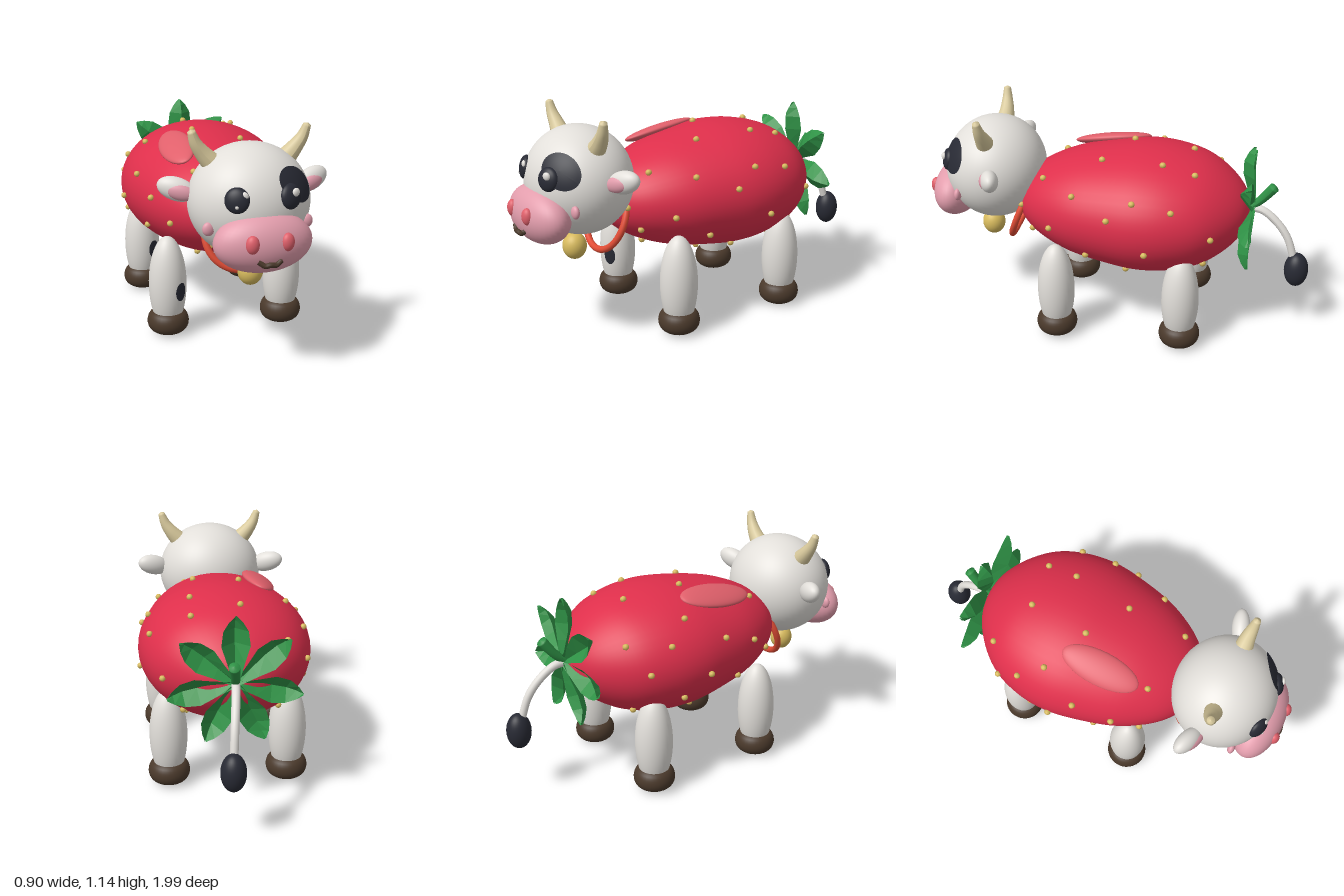
import * as THREE from 'three';

const mat = (name, color, side = THREE.FrontSide) => {
  const m = new THREE.MeshStandardMaterial({ color, side });
  m.name = name;
  return m;
};
const V = (x, y, z) => new THREE.Vector3(x, y, z);

export function createModel() {
  const root = new THREE.Group();
  root.name = 'strawberryCow';

  const red = mat('berry red', 0xde2f4b);
  const white = mat('hide white', 0xe2dfda);
  const black = mat('spot black', 0x282a34);
  const pink = mat('skin pink', 0xe29dac);
  const brown = mat('hoof brown', 0x4a392b);
  const green = mat('leaf green', 0x2f9246, THREE.DoubleSide);
  const gold = mat('seed gold', 0xd8bb5e);
  const horn = mat('horn cream', 0xd8c99c);
  const orange = mat('collar orange', 0xe04c35);
  const coral = mat('coral', 0xe0606b);

  const add = (name, geo, m) => {
    const mesh = new THREE.Mesh(geo, m);
    mesh.name = name;
    root.add(mesh);
    return mesh;
  };
  const ball = (name, m, pos, radii, rot = [0, 0, 0], seg = 32) => {
    const mesh = add(name, new THREE.SphereGeometry(1, seg, Math.ceil(seg * 0.7)), m);
    mesh.position.set(...pos);
    mesh.scale.set(...radii);
    mesh.rotation.set(...rot);
    return mesh;
  };
  // Tube whose radius runs from r0 to r1, closed at the far end
  const taper = (name, m, pts, r0, r1) => {
    const n = 24, sides = 14;
    const curve = new THREE.CatmullRomCurve3(pts.map((p) => V(...p)));
    const geo = new THREE.TubeGeometry(curve, n, 1, sides);
    const pos = geo.attributes.position, p = V();
    for (let i = 0; i <= n; i++) {
      const c = curve.getPointAt(i / n);
      const r = i === n ? 0 : r0 + (r1 - r0) * (i / n);
      for (let j = 0; j <= sides; j++) {
        const k = i * (sides + 1) + j;
        p.fromBufferAttribute(pos, k).sub(c).multiplyScalar(r).add(c);
        pos.setXYZ(k, p.x, p.y, p.z);
      }
    }
    geo.computeVertexNormals();
    return add(name, geo, m);
  };
  // Thin oval patch wrapped onto an ellipsoid
  const patch = (name, m, center, radii, toward, a, b, turn = 0) => {
    const geo = new THREE.RingGeometry(0.001, 1, 36, 6);
    const pos = geo.attributes.position;
    const c = V(...center), r = V(...radii), d = V(...toward);
    d.multiplyScalar(1 / d.clone().divide(r).length());
    const u = V(0, 1, 0).cross(d).normalize();
    const v = d.clone().cross(u).normalize();
    const cs = Math.cos(turn), sn = Math.sin(turn);
    for (let i = 0; i < pos.count; i++) {
      const x = pos.getX(i) * a, y = pos.getY(i) * b;
      const q = d.clone().addScaledVector(u, x * cs - y * sn).addScaledVector(v, x * sn + y * cs);
      q.multiplyScalar(1.018 / q.clone().divide(r).length()).add(c);
      pos.setXYZ(i, q.x, q.y, q.z);
    }
    geo.computeVertexNormals();
    return add(name, geo, m);
  };

  // Berry body, turned along z and flattened in height
  const FLAT = 0.74, BODY_Y = 0.655;
  const profile = new THREE.SplineCurve([
    [0, -0.69], [0.14, -0.655], [0.265, -0.57], [0.365, -0.45], [0.42, -0.3], [0.435, -0.15],
    [0.415, 0], [0.362, 0.2], [0.285, 0.35], [0.2, 0.45], [0.11, 0.505], [0, 0.53],
  ].map(([r, z]) => new THREE.Vector2(r, z))).getPoints(55);
  profile.forEach((p) => { p.x = Math.max(p.x, 0); });
  const bodyGeo = new THREE.LatheGeometry(profile, 48);
  bodyGeo.rotateX(Math.PI / 2).scale(1, FLAT, 1);
  bodyGeo.computeVertexNormals();
  add('body', bodyGeo, red).position.y = BODY_Y;
  const radiusAt = (z) => {
    const i = Math.max(1, profile.findIndex((p) => p.y >= z));
    const a = profile[i - 1], b = profile[i];
    return a.x + (b.x - a.x) * (z - a.y) / (b.y - a.y);
  };
  ball('bodyShine', coral, [-0.2, 0.917, 0.065], [0.085, 0.03, 0.205], [0.13, 0, 0.4]);

  // Seeds as [z, degrees from the top towards the left side]
  const seeds = [
    [0.36, 36], [0.18, 57], [0.06, 20], [-0.01, 75], [-0.13, 59], [-0.25, 24], [-0.41, 28],
    [-0.32, 64], [-0.2, 104], [-0.51, 94], [0.3, 98], [0.42, 128], [0.11, 122], [0.48, 85],
    [-0.08, 145], [0.35, 165], [0.04, 165], [-0.35, 150], [-0.15, 185], [-0.28, 168], [-0.47, 140],
    [-0.5, -53], [-0.31, -63], [-0.38, -8], [-0.19, -44], [-0.07, -11], [-0.12, -95], [-0.43, -85],
    [0, -68], [0.31, -33], [0.2, -80], [0.33, -103], [0.1, -115], [-0.25, -115], [0.42, -150],
    [0.2, -160], [-0.45, -140], [-0.1, -150],
  ];
  for (const [z, deg] of seeds) {
    const t = deg * Math.PI / 180, r = radiusAt(z) + 0.006;
    ball('seed', gold, [r * Math.sin(t), BODY_Y + FLAT * r * Math.cos(t), z],
      [0.016, 0.016, 0.017], [0, 0, -t], 8);
  }

  // Legs, hooves and spots
  const hoofGeo = new THREE.LatheGeometry(new THREE.SplineCurve([
    [0, 0.004], [0.055, 0.01], [0.093, 0.034], [0.105, 0.072], [0.092, 0.112], [0.055, 0.133], [0, 0.138],
  ].map(([x, y]) => new THREE.Vector2(Math.max(x, 0), y))).getPoints(24), 32);
  const legR = [0.095, 0.25, 0.095];
  for (const x of [-0.3, 0.3]) {
    for (const z of [0.275, -0.37]) {
      ball('leg', white, [x, 0.27, z], legR);
      add('hoof', hoofGeo, brown).position.set(x, 0, z);
      if (x < 0) patch('legSpot', black, [x, 0.27, z], legR, [0.05, -0.018, 0.08], 0.033, 0.048);
    }
  }

  // Head and face
  const headC = [0, 0.803, 0.652], headR = [0.285, 0.267, 0.26];
  ball('head', white, headC, headR, [0, 0, 0], 48);
  patch('facePatch', black, headC, headR, [0.172, 0.115, 0.19], 0.112, 0.085, -0.5);
  ball('muzzle', pink, [0, 0.67, 0.866], [0.228, 0.14, 0.12], [0, 0, 0], 40);
  taper('mouth', brown, [[-0.055, 0.618, 0.97], [-0.025, 0.598, 0.979], [0, 0.602, 0.983],
    [0.025, 0.598, 0.979], [0.055, 0.618, 0.97]], 0.012, 0.012);
  for (const s of [-1, 1]) {
    ball('cheek', pink, [s * 0.23, 0.725, 0.797], [0.028, 0.032, 0.018]);
    ball('nostril', coral, [s * 0.08, 0.695, 0.968], [0.031, 0.042, 0.026], [0, s * 0.2, 0]);
    ball('eye', black, [s * 0.122, 0.87, 0.872], [0.056, 0.058, 0.03], [-0.2, s * 0.4, 0]);
    const hx = s * 0.118 + 0.022;
    ball('eyeGlint', white, [hx, 0.892, 0.89], [0.02, 0.02, 0.012], [0, s * 0.4, 0], 16);
    ball('eyeGlintSmall', white, [hx - 0.034, 0.847, 0.899], [0.009, 0.009, 0.007], [0, 0, 0], 12);
    ball('ear', white, [s * 0.325, 0.858, 0.592], [0.092, 0.055, 0.045], [0, s * 0.35, s * 0.3]);
    ball('earInner', pink, [s * 0.315, 0.85, 0.622], [0.07, 0.038, 0.026], [0, s * 0.35, s * 0.25]);
    taper('horn', horn, [[s * 0.165, 0.975, 0.65], [s * 0.215, 1.03, 0.65],
      [s * 0.25, 1.08, 0.655], [s * 0.274, 1.145, 0.66]], 0.05, 0.017);
  }

  // Collar and bell
  const collar = add('collar', new THREE.TorusGeometry(0.17, 0.017, 14, 56), orange);
  collar.position.set(0, 0.583, 0.508);
  collar.rotation.x = -0.38;
  ball('bell', gold, [0, 0.466, 0.69], [0.06, 0.068, 0.06]);

  // Leafy crown: folded blades around the rear end
  const spine = [[0, 0.02, -0.7], [0.1, 0.07, -0.672], [0.18, 0.115, -0.648], [0.25, 0.1, -0.648],
    [0.295, 0.055, -0.668], [0.325, 0.006, -0.69]]; // reach, width, z
  const leafGeo = new THREE.PlaneGeometry(2, 1, 2, spine.length - 1);
  const lp = leafGeo.attributes.position;
  for (let i = 0; i < lp.count; i++) {
    const side = lp.getX(i);
    const [reach, w, z] = spine[spine.length - 1 - Math.floor(i / 3)];
    lp.setXYZ(i, side * w * 0.58, reach, z + (side === 0 ? 0.012 : -w * 0.4));
  }
  const leafFlat = leafGeo.toNonIndexed();
  leafFlat.computeVertexNormals();
  for (let i = 0; i < 7; i++) {
    const leaf = add('leaf', leafFlat, green);
    leaf.position.y = 0.68;
    leaf.rotation.z = i * Math.PI * 2 / 7;
  }
  taper('stem', green, [[0, 0.66, -0.66], [0.005, 0.72, -0.73], [0.02, 0.81, -0.8]], 0.018, 0.027);

  // Tail with tuft
  taper('tail', white, [[0, 0.675, -0.68], [0.005, 0.665, -0.745], [0.015, 0.61, -0.82],
    [0.025, 0.53, -0.88], [0.033, 0.4, -0.925]], 0.021, 0.019);
  ball('tailTuft', black, [0.036, 0.355, -0.938], [0.06, 0.093, 0.062]);

  return root;
}
